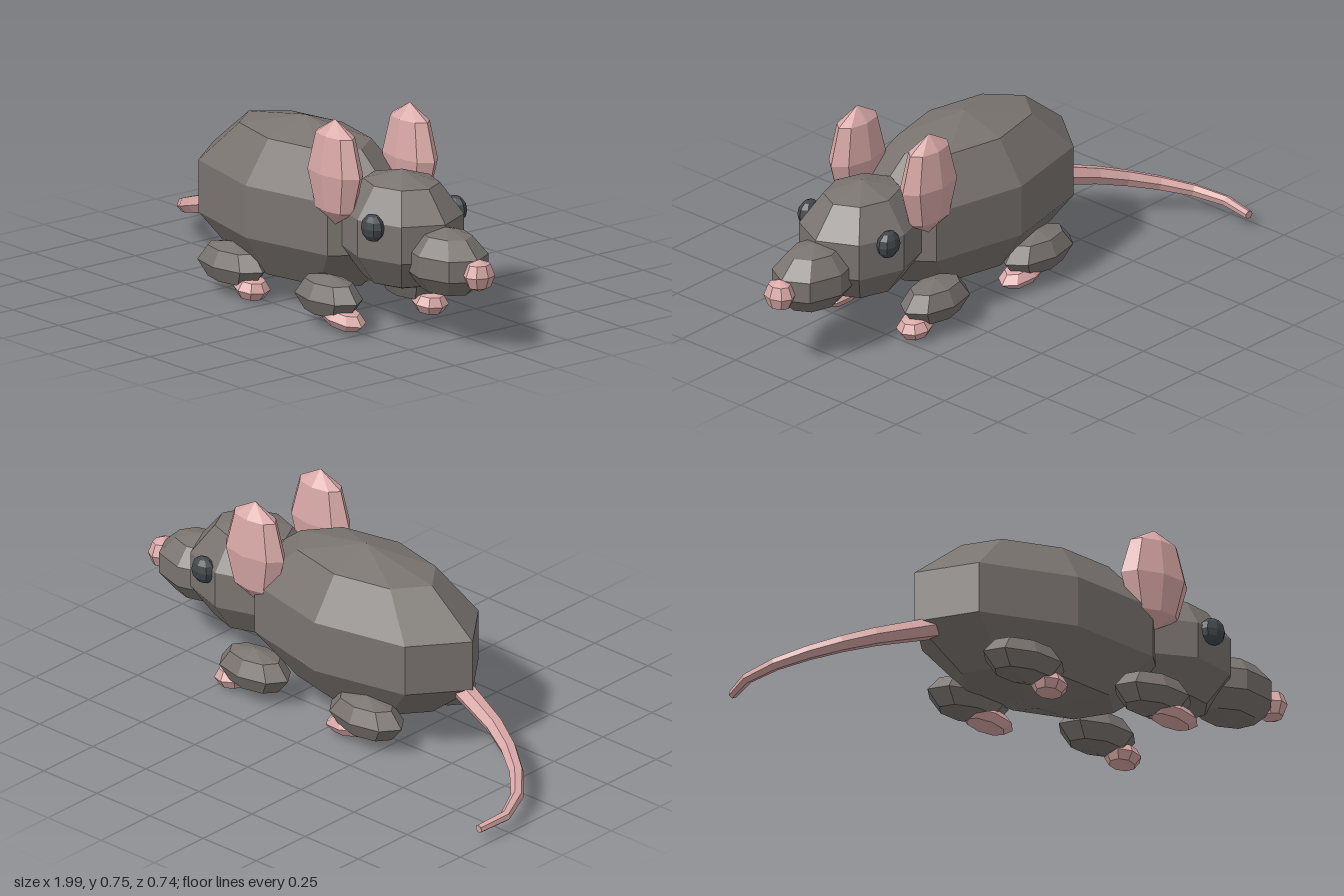
import * as THREE from 'three';

const makeMaterial = (name, color) => {
  const m = new THREE.MeshStandardMaterial({ color, flatShading: true });
  m.name = name;
  return m;
};

export function createModel() {
  const fur = makeMaterial('greyFur', 0x7a7470);
  const skin = makeMaterial('pinkSkin', 0xd8a8a6);
  const dark = makeMaterial('darkEye', 0x42474b);
  const group = new THREE.Group();
  group.name = 'mouse';
  const midZ = 0.095; // the body's own centre line

  // Low-poly ellipsoid: centre, radii, number of rings, tilt about z
  const blob = (name, material, [x, y, z], [rx, ry, rz], rings, tilt = 0) => {
    const geometry = new THREE.SphereGeometry(1, 8, rings).scale(rx, ry, rz).toNonIndexed();
    geometry.computeVertexNormals();
    const mesh = new THREE.Mesh(geometry, material);
    mesh.name = name;
    mesh.position.set(x, y, z);
    mesh.rotation.z = tilt;
    group.add(mesh);
  };

  // Body, head, snout and nose along the centre line
  blob('body', fur, [-0.01, 0.35, midZ], [0.526, 0.303, 0.28], 5);
  blob('head', fur, [0.52, 0.36, midZ], [0.252, 0.216, 0.208], 5);
  blob('snout', fur, [0.765, 0.298, midZ], [0.18, 0.123, 0.132], 5);
  blob('nose', skin, [0.945, 0.287, midZ], [0.05, 0.058, 0.06], 4);

  for (const [label, s] of [['left', 1], ['right', -1]]) {
    // Ears and eyes
    blob(label + 'Ear', skin, [0.36, 0.56, midZ + s * 0.167], [0.135, 0.19, 0.066], 4);
    blob(label + 'Eye', dark, [0.587, 0.412, midZ + s * 0.185], [0.05, 0.05, 0.034], 6);

    // Haunches, with stretched and tucked feet on opposite corners
    for (const [end, x, length] of [['Front', 0.345, 0.155], ['Back', -0.18, 0.165]]) {
      const z = midZ + s * 0.184;
      blob(label + end + 'Leg', fur, [x, 0.112, z], [length, 0.079, 0.09], 4);
      const stretched = (end === 'Front') === (s > 0);
      if (stretched) blob(label + end + 'Foot', skin, [x + 0.075, 0.053, z], [0.108, 0.04, 0.063], 4, -0.15);
      else blob(label + end + 'Foot', skin, [x + 0.105, 0.046, z], [0.068, 0.043, 0.063], 4, -0.1);
    }
  }

  // Tail: a curved tube narrowed towards its tip
  const path = new THREE.CatmullRomCurve3([
    [-0.42, 0.25, 0.11], [-0.5, 0.225, 0.092], [-0.66, 0.175, 0.055], [-0.81, 0.125, -0.02],
    [-0.925, 0.085, -0.125], [-0.98, 0.06, -0.25], [-0.965, 0.05, -0.368],
  ].map((p) => new THREE.Vector3(...p)));
  const steps = 7, sides = 6;
  const tube = new THREE.TubeGeometry(path, steps, 0.04, sides);
  const pos = tube.attributes.position;
  const v = new THREE.Vector3();
  for (let i = 0; i < pos.count; i++) {
    const u = Math.floor(i / (sides + 1)) / steps;
    const c = path.getPointAt(u);
    v.fromBufferAttribute(pos, i).sub(c).multiplyScalar(1 - 0.6 * u).add(c);
    pos.setXYZ(i, v.x, v.y, v.z);
  }
  const tailGeometry = tube.toNonIndexed();
  tailGeometry.computeVertexNormals();
  const tail = new THREE.Mesh(tailGeometry, skin);
  tail.name = 'tail';
  group.add(tail);

  // Flat cap on the tail tip
  const cap = new THREE.Mesh(new THREE.CircleGeometry(0.016, sides), skin);
  cap.name = 'tailTip';
  const tip = path.getPointAt(1);
  cap.position.copy(tip);
  cap.lookAt(tip.clone().add(path.getTangentAt(1)));
  group.add(cap);

  return group;
}
